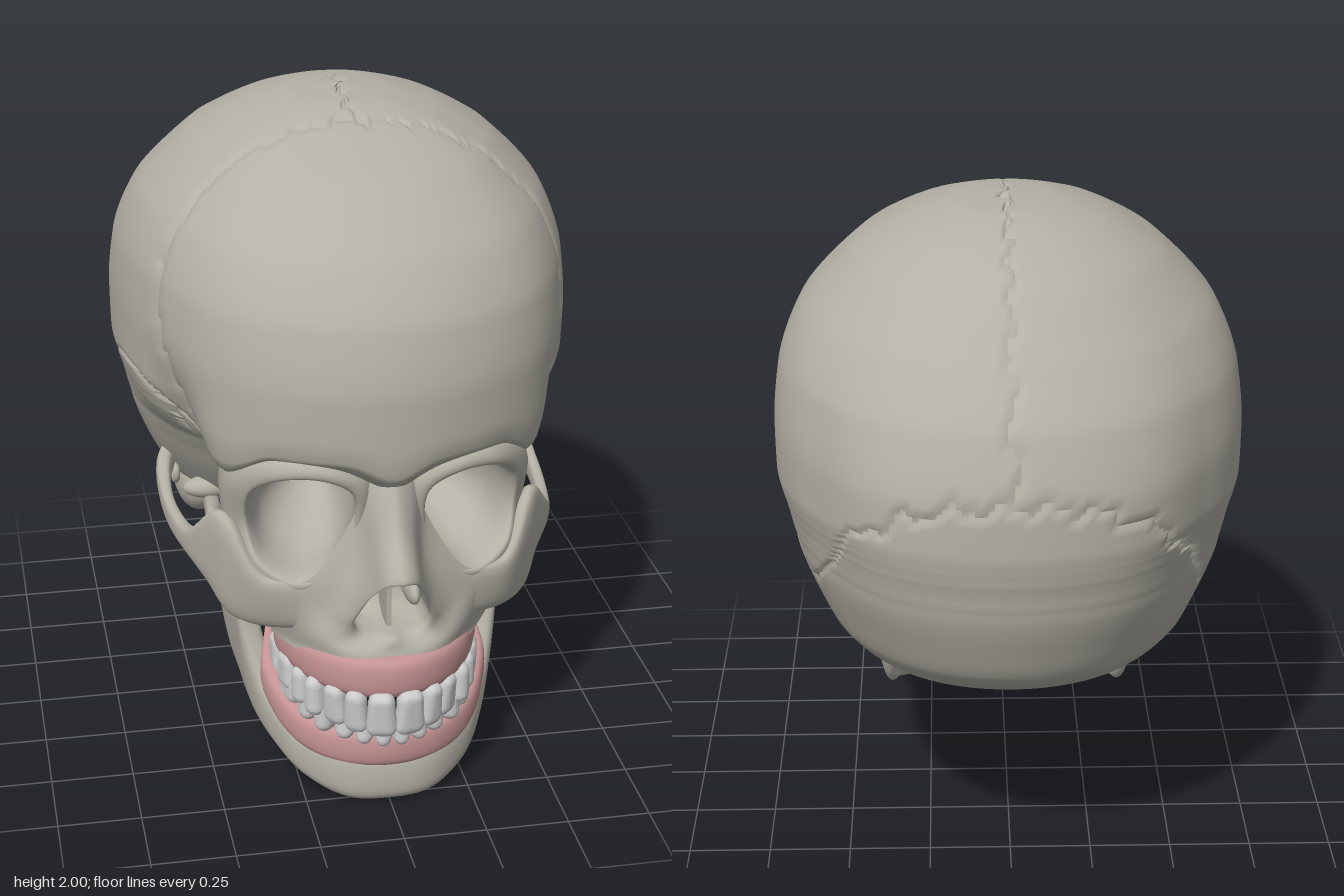
import * as THREE from 'three';
import { RoundedBoxGeometry } from 'three/addons/geometries/RoundedBoxGeometry.js';

const V = (x, y, z) => new THREE.Vector3(x, y, z);
const mat = (color) => new THREE.MeshStandardMaterial({ color, side: THREE.DoubleSide });
const bone = mat(0xb3b0a5), enamel = mat(0xcccccc), gum = mat(0xc59393);
const smooth = THREE.MathUtils.smoothstep;

function add(parent, name, geometry, material = bone) {
  const mesh = new THREE.Mesh(geometry, material);
  mesh.name = name;
  parent.add(mesh);
  return mesh;
}

// Geometry from a grid of positions that wraps around in u; keep() picks cells
function gridGeometry(pos, nu, nv, keep = () => true) {
  const index = [];
  for (let j = 0; j < nv - 1; j++) for (let i = 0; i < nu; i++) {
    if (!keep(i, j)) continue;
    const a = j * nu + i, b = j * nu + (i + 1) % nu;
    index.push(a, a + nu, b, b, a + nu, b + nu);
  }
  const g = new THREE.BufferGeometry();
  g.setAttribute('position', new THREE.Float32BufferAttribute(pos, 3));
  g.setIndex(index);
  g.computeVertexNormals();
  return g;
}

// Smooth skin over closed cross-sections
function loft(rows, nu, nv) {
  const dense = rows.map((r) => {
    const c = new THREE.CatmullRomCurve3(r, true);
    return Array.from({ length: nu }, (_, i) => c.getPoint(i / nu));
  });
  const cols = dense[0].map((_, i) => new THREE.CatmullRomCurve3(dense.map((r) => r[i])));
  const pos = [];
  for (let j = 0; j < nv; j++) for (const c of cols) pos.push(...c.getPoint(j / (nv - 1)).toArray());
  return gridGeometry(pos, nu, nv);
}

// Upright rounded section from bottom b to top t, half thickness d, facing angle a
function ring([b, t, d, a]) {
  const lo = V(...b), hi = V(...t), mid = lo.clone().add(hi).multiplyScalar(0.5);
  const up = hi.sub(mid), out = V(Math.sin(a), 0, Math.cos(a)).multiplyScalar(d);
  const f = (c) => Math.sign(c) * Math.abs(c) ** 0.7;
  return Array.from({ length: 16 }, (_, i) => {
    const q = (i / 16) * Math.PI * 2;
    return mid.clone().addScaledVector(up, f(Math.cos(q))).addScaledVector(out, f(Math.sin(q)));
  });
}

// Dental arch: t runs from -1 to 1 across the mouth
function arch(t, w, zf, zb) {
  const q = t * Math.PI / 2, s = Math.sin(q), c = Math.cos(q);
  return { x: w * s, z: zb + (zf - zb) * c, a: Math.atan2(s * (zf - zb), c * w) };
}

// Stack of arches: y, half width, front z, back z
const archLoft = (rows) => loft(rows.map(([y, w, zf, zb]) => Array.from({ length: 13 }, (_, i) => {
  const p = arch(i / 6 - 1, w, zf, zb);
  return V(p.x, y, p.z);
})), 52, 36);

function blob(parent, name, [x, y, z], [rx, ry, rz]) {
  const m = add(parent, name, new THREE.SphereGeometry(1, 24, 16));
  m.position.set(x, y, z);
  m.scale.set(rx, ry, rz);
}

// Cranium levels: y, front z, back z, half width, z of the widest point
const LEVELS = [
  [2, -.08, -.08, 0, -.08], [1.985, .1, -.27, .16, -.09], [1.94, .26, -.43, .31, -.1],
  [1.85, .48, -.62, .467, -.11], [1.69, .69, -.78, .622, -.14], [1.53, .8, -.9, .687, -.17],
  [1.33, .847, -.965, .705, -.2], [1.2, .847, -.968, .703, -.2], [1.14, .836, -.962, .69, -.2],
  [1.1, .79, -.955, .678, -.2], [1.06, .65, -.945, .668, -.2], [1.01, .48, -.935, .655, -.2],
  [.95, .4, -.92, .64, -.2], [.86, .33, -.885, .605, -.2], [.75, .24, -.83, .55, -.22],
  [.65, .12, -.69, .46, -.25], [.58, 0, -.54, .32, -.25], [.545, -.07, -.4, .17, -.22],
  [.58, -.1, -.33, .11, -.21], [.66, -.1, -.32, .1, -.21]];

// Which skull bone a point belongs to
function boneAt(x, y, z) {
  const zig = .01 * Math.sin(45 * x) + .006 * Math.sin(97 * x + 31 * y);
  if (z > .2 + .25 * (1.95 - y) + zig && y > .98 + Math.max(0, .6 - z) * .9) return 'frontalBone';
  if (z < -.48 && y < .91 + .894 * (-.48 - z) + 2 * zig) return 'occipitalBone';
  const squama = z > -.18 ? 1.2 - (z - .05) ** 2 : 1.147 + (z + .18) * .79;
  if (y < squama) {
    if (z > .3) return 'sphenoidBone';
    if (z < -.42 || (y < .66 && Math.abs(x) < .33)) return 'occipitalBone';
    return x > 0 ? 'leftTemporalBone' : 'rightTemporalBone';
  }
  return x > .014 * Math.sin(48 * z) + .008 * Math.sin(110 * z) ? 'leftParietalBone' : 'rightParietalBone';
}

function buildCranium(parent) {
  const nu = 240, nv = 160, pos = [];
  const A = new THREE.CatmullRomCurve3(LEVELS.map((l) => V(l[1], l[2], l[3])));
  const B = new THREE.CatmullRomCurve3(LEVELS.map((l) => V(l[0], l[4], 0)));
  for (let j = 0; j < nv; j++) {
    const { x: zf, y: zb, z: w } = A.getPoint(j / (nv - 1)), { x: y, y: zc } = B.getPoint(j / (nv - 1));
    const flat = .6 * Math.exp(-(((y - 1.2) / .4) ** 2));
    for (let i = 0; i < nu; i++) {
      const q = (i / nu) * Math.PI * 2, c = Math.cos(q), k = Math.abs(c);
      // fuller forehead corners; straighter sides and a flatter rear
      const front = k + .2 * smooth(k, .4, .85) * (1 - k);
      const rear = k + flat * (.92 * k + .08 * smooth(k, .55, .95) + .25 * smooth(k, .6, .9) * (1 - k) - k);
      const z = c > 0 ? zc + front * (zf - zc) : zc - rear * (zc - zb);
      // hollow of the temple behind the brow
      const pinch = 1 - .13 * Math.exp(-(((z - .4) / .13) ** 2) - ((y - 1.1) / .15) ** 2);
      const x = w * Math.sin(q) * pinch;
      // the brow dips between and beside the eyes
      const dip = smooth(z, .25, .5) * (1 - smooth(y, 1.1, 1.28)) * smooth(y, .85, 1);
      pos.push(x, y - dip * (.06 * Math.exp(-((x / .09) ** 2)) + .07 * smooth(Math.abs(x), .33, .47)), z);
    }
  }
  const label = [], touch = Array.from({ length: nu * nv }, () => new Set());
  for (let j = 0; j < nv - 1; j++) for (let i = 0; i < nu; i++) {
    const k = [j * nu + i, j * nu + (i + 1) % nu, (j + 1) * nu + i, (j + 1) * nu + (i + 1) % nu];
    const mid = [0, 1, 2].map((n) => k.reduce((s, v) => s + pos[v * 3 + n], 0) / 4);
    const name = label[j * nu + i] = boneAt(...mid);
    k.forEach((v) => touch[v].add(name));
  }
  // sutures: sink the vertices shared by two bones
  touch.forEach((s, v) => {
    if (s.size < 2) return;
    [0, 1.2, -.1].forEach((c, n) => { pos[v * 3 + n] = c + (pos[v * 3 + n] - c) * .99; });
  });
  for (const name of new Set(label)) add(parent, name, gridGeometry(pos, nu, nv, (i, j) => label[j * nu + i] === name));
}

// Orbit, cheek and base parts of the left side
function buildSide() {
  const side = new THREE.Group();
  const rim = [[.115, 1.02, .775], [.2, 1.075, .785], [.31, 1.07, .745], [.39, 1, .66], [.395, .88, .61],
    [.365, .78, .66], [.27, .73, .71], [.17, .77, .73], [.115, .88, .74]].map((p) => V(...p));
  const c = V(.25, .92, .69), apex = V(.13, .93, .25);
  // depth toward the apex, size, shift in z
  const rows = [[1, .08, 0], [.7, .55, 0], [.35, .9, 0], [.05, .98, 0], [0, 1.05, .005], [0, 1.2, -.005], [0, 1.4, -.055], [0, 1.36, -.2]]
    .map(([t, s, dz]) => rim.map((p) => p.clone().sub(c).multiplyScalar(s).add(c.clone().lerp(apex, t)).add(V(0, 0, dz))));
  add(side, 'eyeSocket', loft(rows, 54, 40));
  add(side, 'cheekboneAndArch', loft([
    [[.24, .56, .68], [.24, .73, .7], .03, .3], [[.36, .55, .62], [.36, .74, .67], .035, .5],
    [[.44, .56, .55], [.44, .88, .59], .035, .8], [[.49, .63, .48], [.475, .9, .54], .03, 1.1],
    [[.54, .7, .42], [.54, .8, .44], .025, 1.35], [[.575, .72, .28], [.575, .79, .28], .02, 1.57],
    [[.585, .74, .14], [.585, .81, .14], .02, 1.57], [[.575, .77, .02], [.575, .85, .02], .025, 1.6],
    [[.53, .79, -.1], [.53, .87, -.1], .03, 1.6]].map(ring), 32, 50));
  blob(side, 'mastoidProcess', [.455, .71, -.13], [.075, .11, .14]);
  blob(side, 'occipitalCondyle', [.12, .57, -.1], [.04, .03, .08]);
  blob(side, 'jawCondyle', [.445, .76, .08], [.08, .035, .04]);
  blob(side, 'nasalConcha', [.085, .65, .64], [.025, .045, .1]);
  const ear = add(side, 'earOpening', new THREE.TorusGeometry(.03, .012, 10, 24));
  ear.position.set(.535, .77, -.04);
  ear.rotation.y = Math.PI / 2;
  const styloid = add(side, 'styloidProcess', new THREE.CylinderGeometry(.025, .008, .22, 10));
  styloid.position.set(.37, .62, 0);
  styloid.rotation.x = -.15;
  for (const [x, tilt] of [[.12, 0], [.2, .3]]) {
    const plate = add(side, 'pterygoidPlate', new RoundedBoxGeometry(.02, .3, .13, 2, .009));
    plate.position.set(x, .63, .3);
    plate.rotation.y = tilt;
  }
  return side;
}

function buildFace(parent) {
  // Rings around the nasal opening: edge, middle and outer border (left half, top to bottom)
  const edge = [[0, .82, .965], [.04, .81, .945], [.075, .75, .88], [.1, .68, .83], [.118, .62, .8], [.1, .58, .785], [.05, .568, .785], [0, .57, .82]];
  const middle = [[0, .93, .885], [.045, .92, .855], [.09, .83, .79], [.15, .72, .765], [.2, .63, .745], [.19, .56, .77], [.1, .53, .82], [0, .53, .83]];
  const outer = [[0, 1.08, .8], [.06, 1.06, .77], [.11, .93, .74], [.22, .75, .725], [.33, .68, .69], [.33, .52, .6], [.16, .48, .8], [0, .47, .85]];
  const whole = (h) => [...h, ...h.slice(1, -1).reverse().map(([x, y, z]) => [-x, y, z])].map((p) => V(...p));
  const inward = (s, z) => edge.map(([x, y, ez]) => [x * s, .68 + (y - .68) * s, z ?? ez - .06]);
  add(parent, 'noseAndMaxilla', loft([inward(.8, .45), inward(.9, .65), inward(.95), edge, middle, outer].map(whole), 72, 48));
  add(parent, 'nasalSeptum', new THREE.BoxGeometry(.015, .24, .3)).position.set(0, .68, .6);
  blob(parent, 'sphenoidBody', [0, .75, .22], [.17, .13, .2]);
  blob(parent, 'skullBase', [0, .66, .03], [.11, .07, .2]);
  add(parent, 'upperJaw', archLoft([[.72, .3, .6, .28], [.6, .29, .64, .3], [.555, .29, .77, .34], [.5, .29, .82, .4],
    [.46, .28, .82, .42], [.48, .2, .72, .43], [.56, .01, .52, .5]]));
  add(parent, 'palate', archLoft([[.43, .25, .79, .42], [.46, .2, .72, .43], [.52, .12, .62, .46], [.54, .01, .52, .5]]), gum);
}

function buildMandible(parent) {
  const half = [
    [[.12, .005, .735], [.13, .17, .725], .05, .25], [[.22, .04, .65], [.24, .2, .63], .05, .8],
    [[.285, .09, .55], [.305, .27, .53], .045, 1.2], [[.33, .13, .44], [.36, .42, .45], .04, 1.35],
    [[.355, .16, .37], [.405, .71, .38], .03, 1.5], [[.365, .19, .3], [.415, .64, .31], .026, 1.57],
    [[.375, .22, .22], [.425, .6, .23], .026, 1.57], [[.38, .26, .16], [.44, .7, .13], .026, 1.57],
    [[.385, .34, .115], [.445, .78, .1], .028, 1.57], [[.42, .55, .085], [.45, .79, .06], .02, 1.57],
    [[.43, .66, .06], [.45, .77, .05], .004, 1.57]];
  const flip = ([[bx, by, bz], [tx, ty, tz], d, a]) => [[-bx, by, bz], [-tx, ty, tz], d, -a];
  const chin = [[0, 0, .755], [0, .16, .745], .05, 0];
  add(parent, 'lowerJaw', loft([...half.map(flip).reverse(), chin, ...half].map(ring), 36, 110));
}

// A gum band; lo and hi give its edges along the arch
function buildGum(parent, name, w, zf, zb, lo, hi) {
  const rows = [];
  for (let i = -8; i <= 8; i++) {
    const t = i / 8, p = arch(t, w, zf, zb), s = Math.abs(t) ** 3;
    rows.push(ring([[p.x, lo(s), p.z], [p.x, hi(s), p.z], Math.abs(i) === 8 ? .012 : .042, p.a]));
  }
  add(parent, name, loft(rows, 28, 64), gum);
}

// One row of teeth; root is +1 when the roots point up
function buildTeeth(parent, name, w, zf, zb, sizes, root, yAt, height) {
  const group = new THREE.Group();
  group.name = name;
  const curve = new THREE.CatmullRomCurve3(Array.from({ length: 21 }, (_, i) => {
    const p = arch(i / 20, w, zf, zb);
    return V(p.x, 0, p.z);
  }));
  const length = curve.getLength(), fit = length / sizes.reduce((a, b) => a + b);
  let run = 0;
  sizes.forEach((size, n) => {
    const u = (run + size * fit / 2) / length, p = curve.getPointAt(u), dir = curve.getTangentAt(u);
    run += size * fit;
    const h = height - .005 * n, depth = n < 3 ? .065 : .09;
    const g = new RoundedBoxGeometry(size * fit * 1.06, h, depth, 3, .03), v = g.attributes.position;
    // crowns narrow toward the root, front teeth thin toward the biting edge
    for (let i = 0; i < v.count; i++) {
      const k = .5 + root * v.getY(i) / h;
      v.setX(i, v.getX(i) * (1 - .2 * k * k));
      if (n < 3) v.setZ(i, v.getZ(i) * (.6 + .4 * k));
    }
    g.computeVertexNormals();
    for (const s of [1, -1]) {
      const tooth = add(group, 'tooth', g, enamel);
      tooth.position.set(p.x * s, yAt(u), p.z);
      tooth.rotation.y = s * Math.atan2(-dir.z, dir.x);
    }
  });
  parent.add(group);
}

export function createModel() {
  const model = new THREE.Group();
  model.name = 'skull';
  buildCranium(model);
  buildFace(model);
  const left = buildSide(), right = left.clone();
  left.name = 'leftSide';
  right.name = 'rightSide';
  right.scale.x = -1;
  model.add(left, right);
  buildMandible(model);
  buildGum(model, 'upperGum', .275, .83, .45, (s) => .39 + .03 * s, () => .52);
  buildGum(model, 'lowerGum', .315, .765, .44, (s) => .12 + .21 * s, (s) => .24 + .21 * s);
  buildTeeth(model, 'upperTeeth', .275, .865, .46, [.082, .066, .07, .06, .06, .09, .085], 1, (u) => .345 + .06 * u * u, .145);
  buildTeeth(model, 'lowerTeeth', .275, .81, .46, [.055, .058, .065, .062, .065, .1, .095], -1, (u) => .27 + .1 * u * u, .12);
  return model;
}
